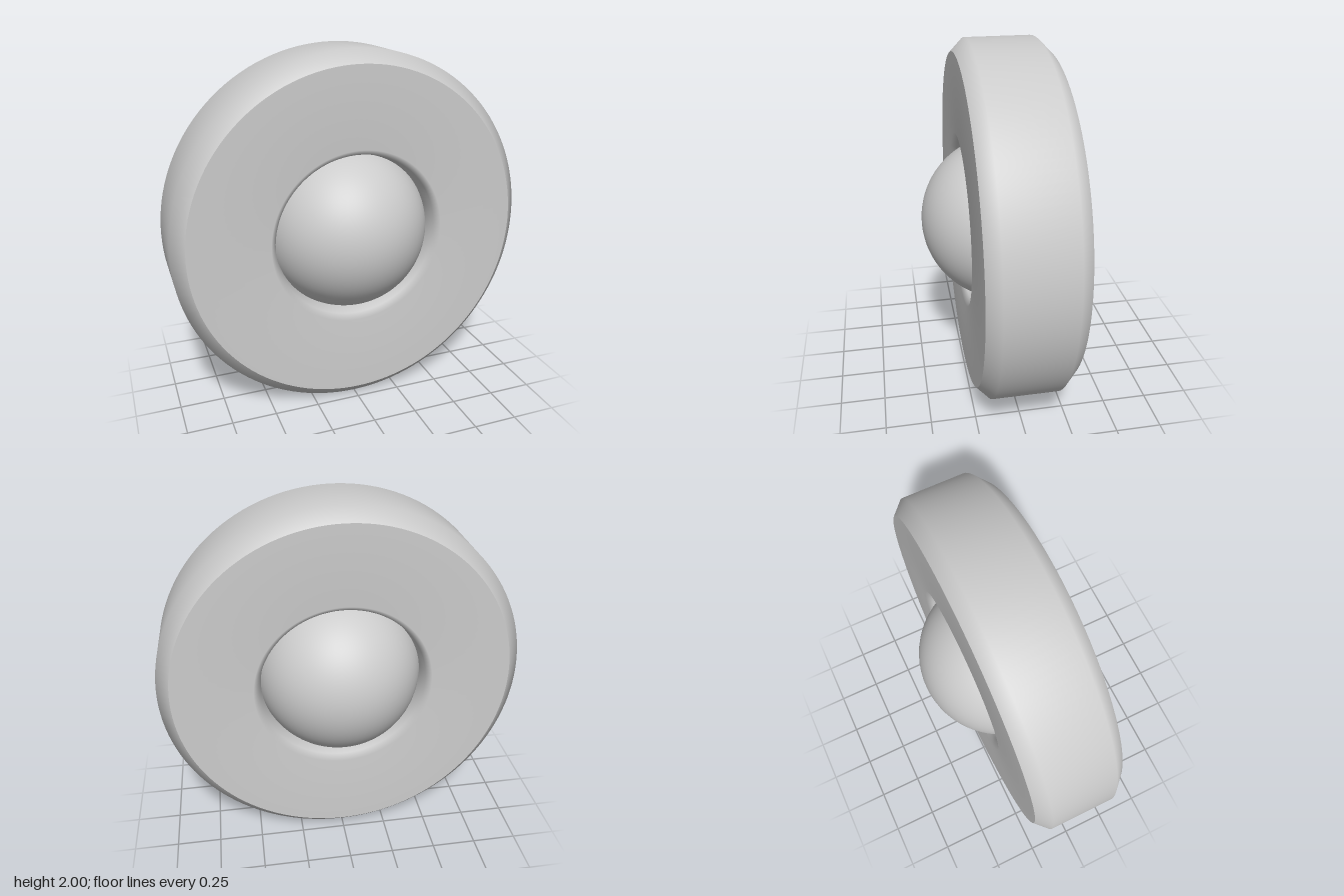
import * as THREE from 'three';

const material = new THREE.MeshStandardMaterial({ color: 0xcccccc, side: THREE.DoubleSide });

// Turns a [radius, z] profile around the z axis.
function turned(name, profile, segments = 128) {
  const points = profile.map(([r, z]) => new THREE.Vector2(r, z));
  const geometry = new THREE.LatheGeometry(points, segments);
  geometry.rotateX(Math.PI / 2);
  const mesh = new THREE.Mesh(geometry, material);
  mesh.name = name;
  return mesh;
}

export function createModel() {
  const model = new THREE.Group();
  model.name = 'wheelWithBall';
  const body = new THREE.Group();
  body.name = 'wheel';
  body.position.y = 1;
  model.add(body);

  // Outer tread with chamfered shoulders
  body.add(turned('tread', [[0.93, -0.25], [1, -0.18], [1, 0.18], [0.93, 0.25]]));

  // Side face running smoothly into the bore, one for front and back
  const sideProfile = [[0.93, 0.25], [0.49, 0.25], [0.46, 0.22], [0.445, 0.14], [0.445, 0]];
  for (const [name, turn] of [['frontFace', 0], ['backFace', Math.PI]]) {
    const face = turned(name, sideProfile);
    face.rotation.y = turn;
    body.add(face);
  }

  // Ball held in the bore
  const ball = new THREE.Mesh(new THREE.SphereGeometry(0.465, 64, 48), material);
  ball.name = 'ball';
  body.add(ball);

  return model;
}
